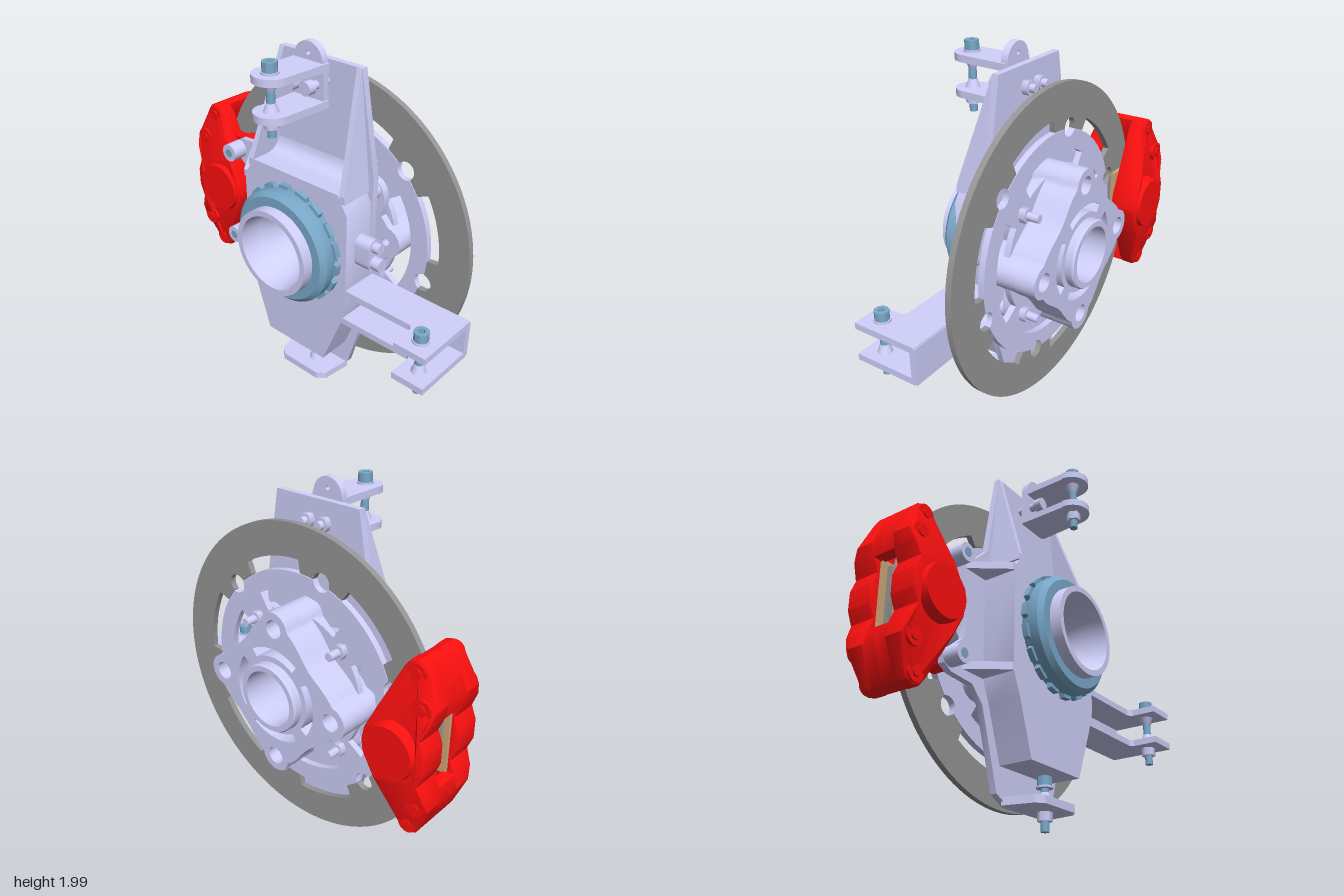
import * as THREE from 'three';
import { toCreasedNormals } from 'three/addons/utils/BufferGeometryUtils.js';

const mat = (color) => new THREE.MeshStandardMaterial({ color });
const METAL = mat(0xd0d0fc), BLUE = mat(0x7aaacb), RED = mat(0xff1010), IRON = mat(0x969696), TAN = mat(0xd0a978);
const HY = 0.973, HU = 0.015, PI = Math.PI; // wheel axis: height and offset towards the back

export function createModel() {
  const root = new THREE.Group();
  const add = (parent, name, geo, material, x = 0, y = 0, z = 0) => {
    const m = new THREE.Mesh(geo, material);
    m.name = name;
    m.position.set(x, y, z);
    parent.add(m);
  };
  const group = (name, x = 0, y = 0, z = 0) => {
    const g = new THREE.Group();
    g.name = name;
    g.position.set(x, y, z);
    root.add(g);
    return g;
  };
  const vecs = (pts) => pts.map(([a, b]) => new THREE.Vector2(a, b));
  const polar = (fn, n = 240) => Array.from({ length: n }, (_, i) => {
    const a = i / n * 2 * PI, r = fn(a);
    return new THREE.Vector2(r * Math.cos(a), r * Math.sin(a));
  });
  const circle = (r, u = 0, v = 0) => new THREE.Path().absarc(u, v, r, 0, 2 * PI);
  const arcSlot = (a, half, r0, r1) => new THREE.Path()
    .absarc(0, 0, r1, a - half, a + half).absarc(0, 0, r0, a + half, a - half, true).closePath();
  const plate = (pts, depth, holes = [], bevel = 0) => {
    const s = pts instanceof THREE.Shape ? pts : new THREE.Shape(pts);
    s.holes.push(...holes);
    return toCreasedNormals(new THREE.ExtrudeGeometry(s, {
      depth, curveSegments: 24, bevelEnabled: bevel > 0, bevelSize: bevel, bevelThickness: bevel, bevelOffset: -bevel, bevelSegments: 2,
    }), 0.6);
  };
  // outline in (-z, y), thickness from x0 to x1
  const plateX = (pts, x0, x1, holes, bevel = 0) =>
    plate(pts, x1 - x0 - 2 * bevel, holes, bevel).rotateY(PI / 2).translate(x0 + bevel, 0, 0);
  // outline in (x, -z), thickness from y0 to y1
  const plateY = (pts, y0, y1, holes) => plate(pts, y1 - y0, holes).rotateX(-PI / 2).translate(0, y0, 0);
  const cylX = (r, x0, x1, seg = 28, r2 = r) =>
    new THREE.CylinderGeometry(r2, r, x1 - x0, seg).rotateZ(-PI / 2).translate((x0 + x1) / 2, 0, 0);
  const latheX = (pts) => toCreasedNormals(new THREE.LatheGeometry(vecs(pts), 64).rotateZ(-PI / 2), 0.5);
  const box = (x0, x1, y0, y1, z0, z1) => new THREE.BoxGeometry(x1 - x0, y1 - y0, z1 - z0)
    .translate((x0 + x1) / 2, (y0 + y1) / 2, (z0 + z1) / 2);

  // ---- wheel end: disc, carrier, hub
  const wheel = group('wheelEnd', 0, HY, -HU);
  // near or far radius, at angle d, of a small circle of radius r centred at distance c
  const bulge = (d, c, r, sign) => c * Math.cos(d) + sign * Math.sqrt(Math.max(0, r * r - (c * Math.sin(d)) ** 2));
  const within = (d, c, r) => c * Math.abs(Math.sin(d)) < r;
  const offset = (a, first, step) => { const d = (a - first) / step; return (d - Math.round(d)) * step; };
  const bobbin = (a) => offset(a, 76 * PI / 180, PI / 3), C = 0.61, R = 0.05;
  const discInner = polar((a) => {
    const d = bobbin(a);
    return within(d, C, R) ? bulge(d, C, R, 1) : Math.abs(d) < 0.23 ? 0.603 : 0.67;
  }, 360);
  add(wheel, 'brakeDisc', plateX(polar(() => 0.845, 120), 0.141, 0.173, [new THREE.Path(discInner)]), IRON);
  const diag = [1, 3, 5, 7].map((k) => k * PI / 4), axes = [0, 1, 2, 3].map((k) => k * PI / 2 - 0.015);
  const carrier = polar((a) => within(bobbin(a), C, R) ? bulge(bobbin(a), C, R, -1) : 0.6, 360);
  add(wheel, 'discCarrier', plateX(carrier, 0.14, 0.174, [circle(0.25), ...axes.map((a) => arcSlot(a, 0.58, 0.4, 0.5))]), METAL);
  const studs = (r) => axes.map((a) => circle(r, 0.37 * Math.cos(a), 0.37 * Math.sin(a)));
  const flange = polar((a) => 0.33 + 0.12 * ((1 - Math.cos(4 * a)) / 2) ** 2);
  add(wheel, 'hubFlange', plateX(flange, 0.1, 0.142, [circle(0.17)]), METAL);
  // four round stud lobes blending into a waisted body
  const lobed = () => polar((a) => {
    const d = offset(a, -0.015, PI / 2), body = 0.32 + 0.085 * Math.cos(2 * d) ** 2;
    return within(d, 0.37, 0.088) ? Math.max(body, bulge(d, 0.37, 0.088, 1)) : body;
  });
  add(wheel, 'hubBody', plateX(lobed(), 0.1, 0.25, [circle(0.17), ...studs(0.022)]), METAL);
  add(wheel, 'hubFace', plateX(lobed(), 0.25, 0.36, [circle(0.17), ...studs(0.048), ...axes.map((a) => arcSlot(a, 0.6, 0.215, 0.26))]), METAL);
  add(wheel, 'spindle', latheX([[0.235, -0.37], [0.235, -0.15], [0.26, -0.15], [0.26, 0.1], [0.185, 0.1], [0.185, 0.4],
    [0.178, 0.41], [0.15, 0.41], [0.15, -0.15], [0.19, -0.25], [0.205, -0.37], [0.235, -0.37]]), METAL);
  for (const a of diag) {
    const y = 0.4 * Math.sin(a), z = -0.4 * Math.cos(a);
    add(wheel, 'carrierBolt', cylX(0.022, 0.06, 0.275), METAL, 0, y, z);
    add(wheel, 'carrierBoltHead', cylX(0.045, 0.06, 0.1), METAL, 0, y, z);
    add(wheel, 'carrierNut', cylX(0.04, 0.174, 0.21, 6), METAL, 0, y, z);
  }
  add(wheel, 'bearingNut', latheX([[0.235, -0.31], [0.285, -0.31], [0.31, -0.285], [0.31, -0.235], [0.29, -0.185], [0.235, -0.185],
    [0.235, -0.31]]), BLUE);
  add(wheel, 'lockWasher', plateX(polar((a) => (Math.sin(a * 18) > -0.5 ? 0.328 : 0.3), 216), -0.235, -0.205, [circle(0.235)]), BLUE);

  // ---- upright
  const upright = group('upright');
  add(upright, 'uprightPlate', plateX(vecs([[-0.25, 1.91], [0.27, 1.91], [0.36, 1.4], [0.45, 1.31], [0.6, 1.3], [0.65, 1.27], [0.66, 1.22],
    [0.6, 1.17], [0.52, 1.1], [0.5, 0.97], [0.52, 0.84], [0.6, 0.77], [0.66, 0.72], [0.65, 0.67], [0.6, 0.64], [0.45, 0.63], [0.37, 0.55],
    [0.25, 0.15], [0.16, 0.105], [-0.16, 0.105], [-0.2, 0.15], [-0.33, 0.6], [-0.34, 1.38]]), 0, 0.035, [circle(0.255, HU, HY)]), METAL);
  add(upright, 'uprightBody', plateX(vecs([[-0.27, 1.34], [0.3, 1.34], [0.37, 1.24], [0.37, 0.68], [0.32, 0.56], [0.23, 0.285],
    [-0.18, 0.285], [-0.29, 0.56], [-0.33, 0.68], [-0.33, 1.24]]), -0.185, 0.002, [circle(0.24, HU, HY)]), METAL);
  add(upright, 'lowerShelf', plateY(vecs([[0.01, -0.19], [-0.15, -0.17], [-0.185, -0.13], [-0.185, 0.12], [-0.15, 0.16], [0.01, 0.2]]),
    0.105, 0.145), METAL);
  // fillet between the body roof and the upper plate
  const fillet = new THREE.Shape().moveTo(0.002, 1.33).lineTo(-0.1, 1.33).lineTo(-0.1, 1.34).quadraticCurveTo(0, 1.34, 0.002, 1.44);
  add(upright, 'roofFillet', plate(fillet, 0.57).translate(0, 0, -0.3), METAL);
  // leaning side fins of the upper part
  const finShape = vecs([[0.02, 1.3], [0.02, 1.91], [0, 1.91], [-0.185, 1.34], [-0.185, 1.3]]);
  for (const [z, slope] of [[0.3, -0.11], [-0.325, 0.11]]) {
    const g = plate(finShape, 0.03), p = g.attributes.position;
    for (let i = 0; i < p.count; i++) p.setZ(i, p.getZ(i) + z - 0.015 + slope * (p.getY(i) - 1.3));
    g.computeVertexNormals();
    add(upright, 'uprightFin', g, METAL);
  }
  // wedges carrying the caliper ears
  for (const y of [1.24, 0.7])
    add(upright, 'earRib', plateY(vecs([[0.01, 0.35], [0.01, 0.53], [-0.185, 0.38], [-0.185, 0.35]]), y - 0.02, y + 0.02), METAL);
  // sensor boss at the front side
  const boss = new THREE.Shape().absarc(-0.075, 0.97, 0.045, PI, 2 * PI).absarc(-0.075, 1.055, 0.045, 0, PI);
  add(upright, 'sensorBoss', plate(boss, 0.12).translate(0, 0, 0.3), METAL);
  for (const [y, r, z] of [[0.97, 0.035, 0.41], [1.06, 0.028, 0.4]])
    add(upright, 'sensorScrew', new THREE.CylinderGeometry(r, r, 0.12, 24).rotateX(PI / 2), METAL, -0.075, y, z);

  // ---- vertical clevis bolt with nut; top and bottom are the clevis faces
  const clevisBolt = (x, z, top, bottom, low) => {
    const g = group('clevisBolt', x, 0, z);
    const part = (name, r0, r1, y0, y1, m, seg = 24) =>
      add(g, name, new THREE.CylinderGeometry(r1, r0, y1 - y0, seg), m, 0, (y0 + y1) / 2, 0);
    part('boltShank', 0.021, 0.021, low, top, BLUE);
    const head = new THREE.Shape().absarc(0, 0, 0.037, 0, 2 * PI);
    add(g, 'boltHead', plateY(head, top + 0.01, top + 0.058, [new THREE.Path(polar(() => 0.018, 6))]), BLUE);
    part('boltHeadFloor', 0.03, 0.03, top, top + 0.025, BLUE);
    part('washer', 0.043, 0.043, top, top + 0.01, METAL);
    part('nut', 0.038, 0.038, bottom - 0.045, bottom, METAL, 6);
    return part;
  };

  // ---- upper arm bracket
  const upper = group('upperBracket');
  for (const y of [1.69, 1.873]) {
    const tongue = new THREE.Shape().moveTo(-0.045, 0.11).lineTo(-0.31, 0.11).absarc(-0.31, 0.02, 0.095, PI / 2, 1.5 * PI).lineTo(-0.045, -0.09);
    add(upper, 'upperTongue', plateY(tongue, y, y + 0.037, [circle(0.021, -0.32, 0.02)]), METAL);
  }
  const back = new THREE.Shape().moveTo(-0.08, 1.69).lineTo(0.11, 1.69).lineTo(0.11, 1.91).absarc(0.015, 1.91, 0.09, 0, PI).lineTo(-0.08, 1.91);
  add(upper, 'upperBackPlate', plateX(back, -0.075, -0.037, [circle(0.012, 0.015, 1.945)]), METAL);
  for (const z of [-0.07, 0.035]) {
    add(upper, 'bracketBolt', cylX(0.022, -0.14, 0.1), METAL, 0, 1.8, z);
    add(upper, 'bracketBoltHead', cylX(0.035, -0.155, -0.11), METAL, 0, 1.8, z);
    add(upper, 'bracketNut', cylX(0.038, 0.035, 0.07, 6), METAL, 0, 1.8, z);
  }
  const up = clevisBolt(-0.32, -0.02, 1.91, 1.69, 1.6);
  up('upperCone', 0.022, 0.038, 1.83, 1.873, METAL);
  up('lowerCone', 0.038, 0.022, 1.727, 1.77, METAL);

  // ---- steering arm bracket
  const steer = group('steeringBracket');
  for (const y of [0.595, 0.775])
    add(steer, 'steeringFork', plateY(vecs([[0.03, -0.28], [0.03, -0.92], [0.02, -0.93], [-0.34, -0.93], [-0.34, -0.75], [-0.205, -0.75],
      [-0.185, -0.73], [-0.185, -0.28]]), y, y + 0.035, [circle(0.021, -0.246, -0.84)]), METAL);
  const opening = new THREE.Path().absarc(-0.53, 0.703, 0.07, PI / 2, 1.5 * PI).absarc(-0.4, 0.703, 0.07, 1.5 * PI, 2.5 * PI).closePath();
  add(steer, 'steeringWeb', plateX(vecs([[-0.93, 0.6], [-0.28, 0.6], [-0.28, 0.805], [-0.93, 0.805]]), 0, 0.035, [opening]), METAL);
  const st = clevisBolt(-0.246, 0.84, 0.81, 0.595, 0.5);
  st('upperCone', 0.022, 0.038, 0.735, 0.775, METAL);
  st('lowerCone', 0.038, 0.022, 0.63, 0.675, METAL);

  // ---- lower arm bolt
  const low = clevisBolt(-0.075, 0.035, 0.22, 0.105, 0.01);
  low('lowerCone', 0.042, 0.022, 0.145, 0.2, METAL);

  // ---- brake caliper, measured from the disc plane and wheel axis
  const caliper = group('brakeCaliper', 0.156, HY, 0);
  const outline = vecs([[0.817, 0.467], [0.775, 0.455], [0.74, 0.41], [0.647, 0.19], [0.59, 0.07], [0.578, 0], [0.59, -0.07], [0.647, -0.19],
    [0.74, -0.41], [0.775, -0.455], [0.817, -0.467], [0.86, -0.45], [0.89, -0.4], [0.94, -0.265], [0.93, -0.2], [0.897, -0.12],
    [0.925, -0.05], [0.925, 0.05], [0.897, 0.12], [0.93, 0.2], [0.94, 0.265], [0.89, 0.4], [0.86, 0.45]]);
  const bridge = [[0.872, 0.18], [0.925, 0.19], [0.938, 0.265], [0.89, 0.4], [0.86, 0.45], [0.817, 0.467], [0.78, 0.455], [0.785, 0.4], [0.84, 0.28]];
  for (const turn of [0, PI]) {
    const half = new THREE.Group();
    half.name = turn ? 'inboardHalf' : 'outboardHalf';
    half.rotation.z = turn;
    caliper.add(half);
    const g = plateX(outline, 0.06, 0.215, [], 0.012), p = g.attributes.position;
    for (let i = 0; i < p.count; i++) // thin the ends
      if (p.getX(i) > 0.15) p.setX(i, p.getX(i) - 0.075 * THREE.MathUtils.smoothstep(Math.abs(p.getY(i)), 0.12, 0.42));
    add(half, 'caliperBody', toCreasedNormals(g, 0.5), RED);
    add(half, 'pistonCover', cylX(0.15, 0.18, 0.232, 40, 0.135), RED, 0, 0, -0.735);
    for (const s of [-1, 1]) {
      for (const [y, z, x] of [[0.405, -0.817, 0.15], [0.262, -0.875, 0.185]]) {
        add(half, 'bodyBoss', cylX(0.05, 0.06, x), RED, 0, s * y, z);
        add(half, 'bodyScrew', cylX(0.028, x, x + 0.01, 6), RED, 0, s * y, z);
      }
      // bridge over the disc edge, open in the middle
      add(half, 'bridge', plateX(vecs(bridge.map(([u, y]) => [u, s * y])), -0.001, 0.08), RED);
    }
    add(half, 'padBacking', box(0.042, 0.062, -0.19, 0.19, -0.885, -0.6), TAN);
    add(half, 'padLining', box(0.018, 0.042, -0.16, 0.16, -0.855, -0.62), IRON);
  }
  // mounting ears and bolts into the upright
  for (const s of [-1, 1]) {
    add(caliper, 'caliperEar', cylX(0.055, -0.12, -0.045), RED, 0, s * 0.265, -0.61);
    add(caliper, 'earArm', box(-0.11, -0.05, -0.07, 0.07, -0.1, 0.02), RED, 0, s * 0.235, -0.64);
    add(caliper, 'mountBolt', cylX(0.05, -0.241, -0.156), METAL, 0, s * 0.265, -0.61);
    add(caliper, 'mountBoltSocket', cylX(0.026, -0.244, -0.2, 6), BLUE, 0, s * 0.265, -0.61);
  }
  return root;
}
